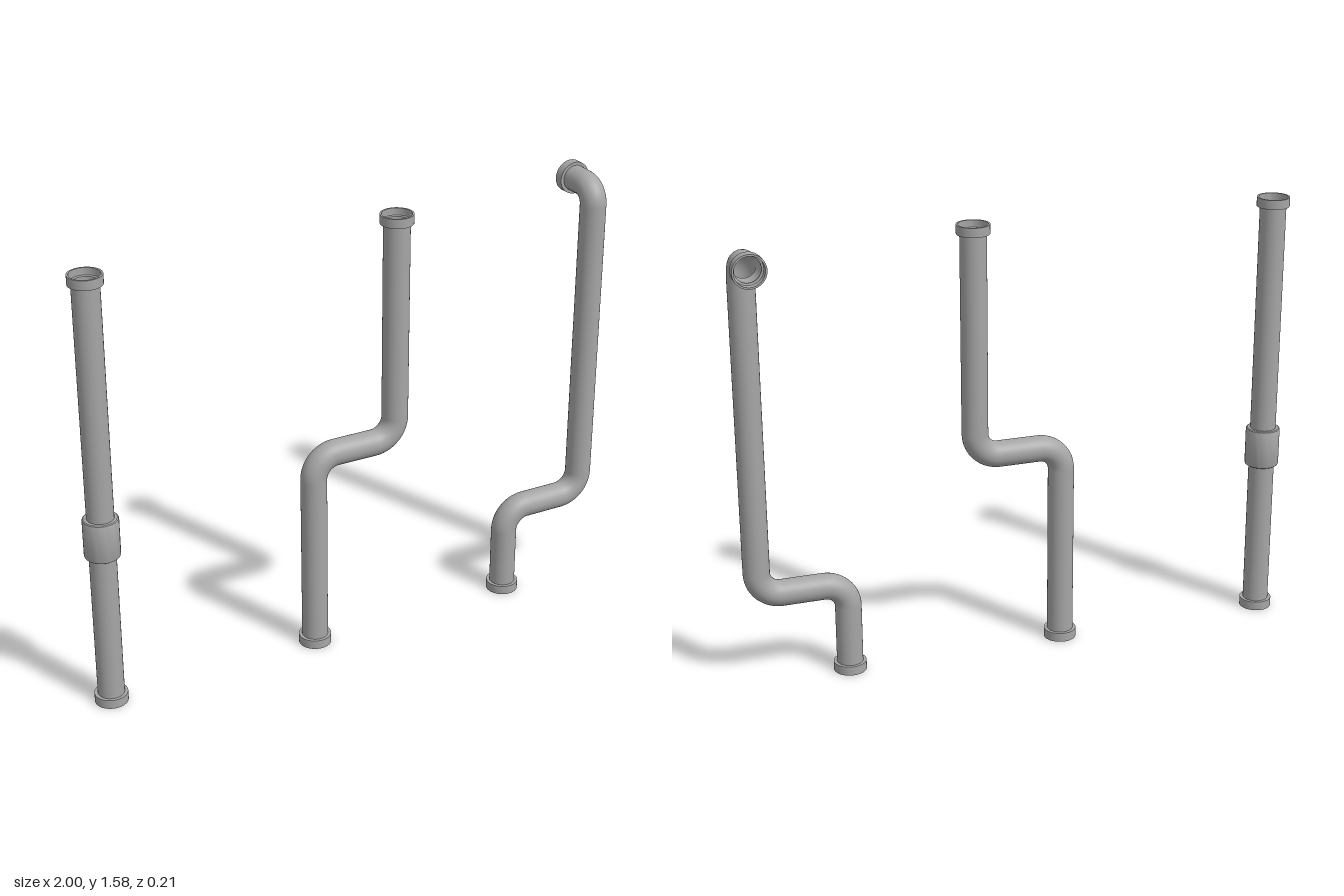
import * as THREE from 'three';
import { mergeGeometries, toCreasedNormals } from 'three/addons/utils/BufferGeometryUtils.js';

const R = 0.046, SIDES = 32, Z = 0.046, TOP = 1.565, COLLAR = 0.033;
const V = (x, y, z = Z) => new THREE.Vector3(x, y, z);
const UP = new THREE.Vector3(0, 1, 0);

export function createModel() {
  const model = new THREE.Group();
  const grey = new THREE.MeshStandardMaterial({ color: 0xa6a6a6, side: THREE.DoubleSide });
  grey.name = 'pipe grey';

  const add = (parent, geometry, name) => {
    const mesh = new THREE.Mesh(geometry, grey);
    mesh.name = name;
    parent.add(mesh);
    return mesh;
  };

  // Surface of revolution with sharp edges, from [radius, height] pairs
  const lathe = (pairs) => toCreasedNormals(
    new THREE.LatheGeometry(pairs.map(([r, y]) => new THREE.Vector2(r, y)), SIDES), 0.6);

  // Hollow end ring with a step down to the pipe bore
  const collarGeometry = lathe([
    [R - 0.002, 0], [0.0575, 0], [0.0575, COLLAR], [0.051, COLLAR],
    [0.051, 0.008], [R - 0.002, 0.006], [R - 0.002, 0],
  ]);

  // Straight runs joined by round elbows; radii[i] is the bend at points[i + 1]
  const pipe = (name, points, radii = []) => {
    const group = new THREE.Group();
    group.name = name;
    const last = points.length - 1;
    const toward = (a, b) => b.clone().sub(a).normalize();
    const endOut = [toward(points[1], points[0]), toward(points[last - 1], points[last])];
    const pieces = [];
    const tube = (curve, steps) => pieces.push(new THREE.TubeGeometry(curve, steps, R, SIDES));

    let start = points[0].clone().addScaledVector(endOut[0], -COLLAR);
    for (let i = 1; i < last; i++) {
      const corner = points[i], bend = radii[i - 1];
      const back = toward(corner, points[i - 1]), ahead = toward(corner, points[i + 1]);
      const at = (dir, d) => corner.clone().addScaledVector(dir, d);
      tube(new THREE.LineCurve3(start, at(back, bend)), 1);
      tube(new THREE.CubicBezierCurve3(
        at(back, bend), at(back, bend * 0.448), at(ahead, bend * 0.448), at(ahead, bend)), 14);
      start = at(ahead, bend);
    }
    tube(new THREE.LineCurve3(start, points[last].clone().addScaledVector(endOut[1], -COLLAR)), 1);
    add(group, mergeGeometries(pieces), 'pipeBody');

    [points[0], points[last]].forEach((end, i) => {
      const collar = add(group, collarGeometry, i ? 'upperCollar' : 'lowerCollar');
      collar.position.copy(end).addScaledVector(endOut[i], -COLLAR);
      collar.quaternion.setFromUnitVectors(UP, endOut[i]);
    });
    model.add(group);
    return group;
  };

  // Straight pipe with a coupling sleeve
  const straight = pipe('straightPipe', [V(-0.939, 0), V(-0.939, TOP)]);
  const sleeve = add(straight, lathe([
    [R, 0], [0.056, 0], [0.0595, 0.0025], [0.061, 0.007],
    [0.061, 0.135], [0.0595, 0.1395], [0.056, 0.142], [R, 0.142],
  ]), 'couplingSleeve');
  sleeve.position.set(-0.939, 0.568, Z);

  // Pipe with a sideways offset
  pipe('offsetPipe', [V(-0.159, 0), V(-0.159, 0.738), V(0.157, 0.738), V(0.157, TOP)], [0.085, 0.085]);

  // Offset pipe whose top turns to the back
  pipe('offsetOutletPipe', [
    V(0.624, 0), V(0.624, 0.33), V(0.94, 0.33), V(0.94, 1.518), V(0.94, 1.518, -0.106),
  ], [0.085, 0.085, 0.06]);

  return model;
}
